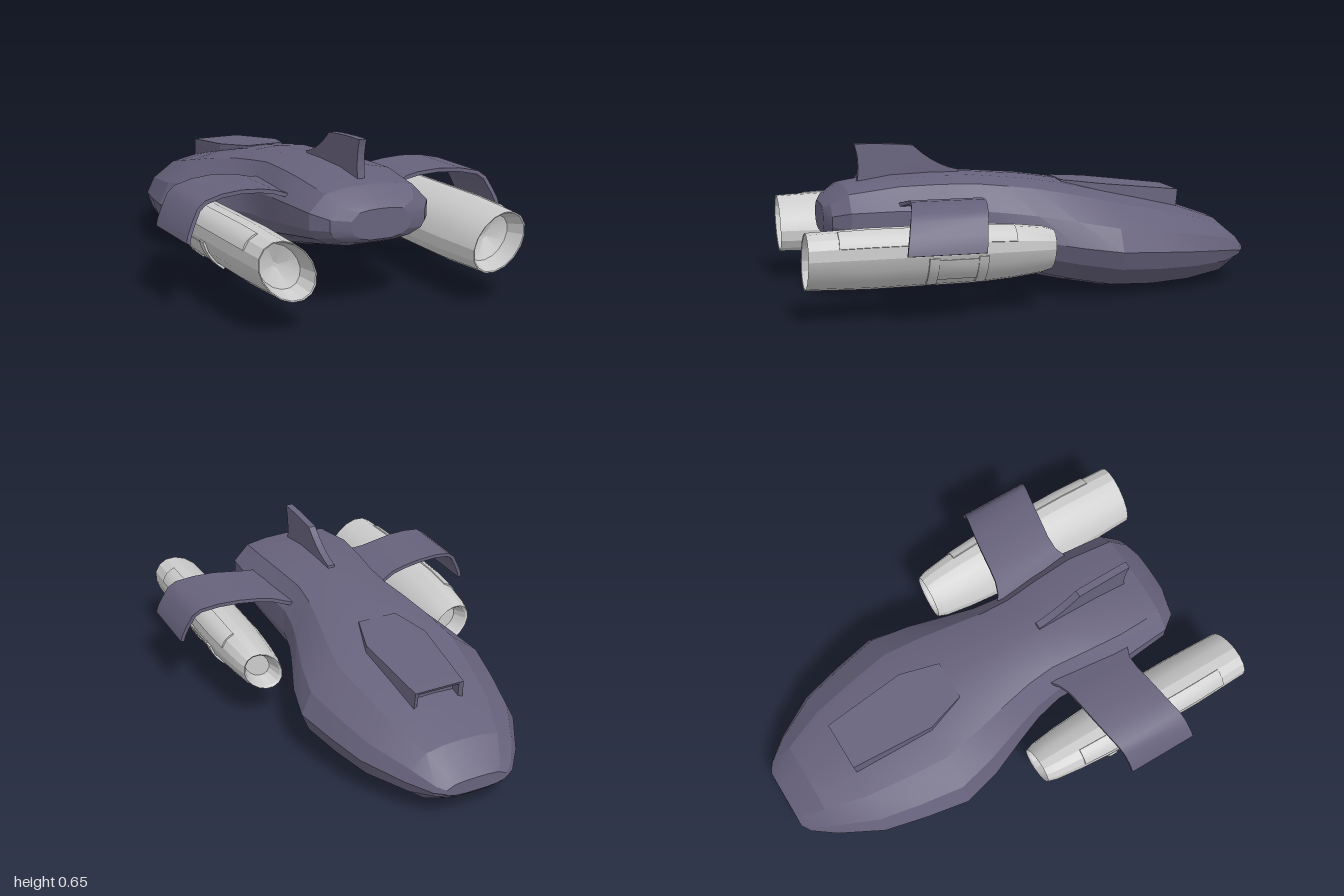
import * as THREE from 'three';
import { toCreasedNormals } from 'three/addons/utils/BufferGeometryUtils.js';

const hullMat = new THREE.MeshStandardMaterial({ color: 0x67627c });
const greyMat = new THREE.MeshStandardMaterial({ color: 0xcccccc });

// Skin a list of closed rings (counter-clockwise seen from the far end) and cap both ends
function loft(rings, crease = 0.3) {
  const n = rings[0].length, pos = rings.flat(2), idx = [];
  for (let i = 0; i < rings.length - 1; i++) {
    for (let j = 0; j < n; j++) {
      const a = i * n + j, b = i * n + (j + 1) % n;
      idx.push(a, b, b + n, a, b + n, a + n);
    }
  }
  [0, rings.length - 1].forEach((r, end) => {
    const c = pos.length / 3;
    for (let k = 0; k < 3; k++) pos.push(rings[r].reduce((s, p) => s + p[k], 0) / n);
    for (let j = 0; j < n; j++) {
      const a = r * n + j, b = r * n + (j + 1) % n;
      if (end) idx.push(c, a, b); else idx.push(c, b, a);
    }
  });
  const g = new THREE.BufferGeometry();
  g.setAttribute('position', new THREE.Float32BufferAttribute(pos, 3));
  g.setIndex(idx);
  return toCreasedNormals(g, crease);
}

function part(name, geometry, material) {
  const mesh = new THREE.Mesh(geometry, material);
  mesh.name = name;
  return mesh;
}

// Hull: half sections from keel to spine, blended from rounded to boxy
const ROUND = [[0.32, -1], [0.65, -0.85], [0.93, -0.4], [1, 0], [0.9, 0.42], [0.62, 0.84], [0.33, 0.97]];
const BOXY = [[0.35, -1], [0.68, -0.85], [0.92, -0.55], [1, -0.2], [1, 0.35], [0.74, 0.86], [0.38, 0.98]];

function hullGeometry() {
  // z, half width, bottom, widest height, top, boxiness
  const stations = [
    [-1, 0.14, 0.115, 0.14, 0.175, 0.6],
    [-0.975, 0.18, 0.09, 0.145, 0.2, 0.4],
    [-0.88, 0.255, 0.035, 0.16, 0.28, 0.1],
    [-0.7, 0.355, 0.012, 0.18, 0.345, 0],
    [-0.52, 0.4, 0.004, 0.195, 0.39, 0],
    [-0.33, 0.437, 0.015, 0.21, 0.435, 0],
    [-0.16, 0.395, 0.045, 0.23, 0.475, 0],
    [0, 0.33, 0.08, 0.26, 0.5, 0.2],
    [0.12, 0.285, 0.105, 0.28, 0.51, 0.4],
    [0.24, 0.258, 0.13, 0.3, 0.52, 0.7],
    [0.4, 0.265, 0.165, 0.32, 0.522, 1],
    [0.57, 0.28, 0.205, 0.34, 0.517, 1],
    [0.78, 0.263, 0.25, 0.35, 0.485, 1],
    [0.85, 0.21, 0.275, 0.35, 0.435, 1],
    [0.875, 0.13, 0.29, 0.35, 0.41, 1],
  ];
  return loft(stations.map(([z, w, bottom, mid, top, k]) => {
    const half = ROUND.map(([x, y], i) => {
      const fx = x + (BOXY[i][0] - x) * k, fy = y + (BOXY[i][1] - y) * k;
      return [fx * w, mid + fy * (fy > 0 ? top - mid : mid - bottom), z];
    });
    const other = half.map(([x, y]) => [-x, y, z]).reverse();
    return [...half, [0, top, z], ...other, [0, bottom, z]];
  }));
}

// Canopy: raised hood with a recessed front face
function canopyGeometry() {
  const ring = (z, w, low, top, lean = 0) =>
    [[-w, low, z], [w, low, z], [w * 0.97, top, z - lean], [-w * 0.97, top, z - lean]];
  return loft([
    ring(-0.64, 0.095, 0.34, 0.398),
    ring(-0.68, 0.095, 0.335, 0.404, 0.01),
    ring(-0.685, 0.113, 0.31, 0.417, 0.012),
    ring(-0.33, 0.143, 0.38, 0.46),
    ring(-0.16, 0.09, 0.42, 0.477),
  ], 0.2);
}

// Wing: thin curved sheet drooping at the tip
function wingGeometry() {
  // x, y, leading z, trailing z
  const stations = [
    [0.2, 0.425, 0.2, 0.62], [0.25, 0.432, 0.235, 0.585], [0.3, 0.447, 0.252, 0.563], [0.36, 0.458, 0.26, 0.562],
    [0.45, 0.466, 0.27, 0.575], [0.54, 0.462, 0.285, 0.59], [0.62, 0.446, 0.302, 0.608],
    [0.655, 0.42, 0.31, 0.617], [0.685, 0.365, 0.32, 0.628], [0.703, 0.325, 0.325, 0.636], [0.71, 0.297, 0.328, 0.64],
  ];
  return loft(stations.map(([x, y, z0, z1], i) => {
    const p = stations[Math.max(i - 1, 0)], q = stations[Math.min(i + 1, stations.length - 1)];
    const len = Math.hypot(q[0] - p[0], q[1] - p[1]);
    const dx = (q[1] - p[1]) / len * 0.016, dy = -(q[0] - p[0]) / len * 0.016;
    return [[x + dx, y + dy, z0], [x, y, z0], [x, y, z1], [x + dx, y + dy, z1]];
  }), 0.5);
}

// Tail fin: swept outline with a curved leading edge
function finGeometry() {
  const s = new THREE.Shape();
  s.moveTo(0.27, 0.49);
  s.lineTo(0.28, 0.53);
  s.quadraticCurveTo(0.38, 0.55, 0.475, 0.64);
  s.quadraticCurveTo(0.6, 0.653, 0.725, 0.652);
  s.quadraticCurveTo(0.7, 0.58, 0.715, 0.49);
  const g = new THREE.ExtrudeGeometry(s, { depth: 0.032, bevelEnabled: false, curveSegments: 5 });
  return g.translate(0, 0, -0.016).rotateY(-Math.PI / 2);
}

// Engine: tilted oval section, scaled along its length
const ENGINE = [[0, 0.7], [0.04, 0.8], [0.16, 0.92], [0.3, 1], [0.75, 1.02], [1, 0.95]];

function engineScale(z) {
  const i = Math.max(1, ENGINE.findIndex((p) => p[0] >= z));
  const [a, b] = [ENGINE[i - 1], ENGINE[i]];
  return THREE.MathUtils.lerp(a[1], b[1], (z - a[0]) / (b[0] - a[0]));
}

function enginePoint(angle, scale, z) {
  const t = angle - Math.PI / 4, c = Math.SQRT1_2;
  const u = 0.145 * scale * Math.cos(t), v = 0.105 * scale * Math.sin(t);
  return [0.463 + (u - v) * c, 0.25 + (u + v) * c, z];
}

function engineGeometry() {
  const profile = [[0.07, 0.45], [0.008, 0.63], ...ENGINE, [0.998, 0.91], [0.92, 0.72], [0.89, 0.08]];
  return loft(profile.map(([z, s]) =>
    Array.from({ length: 16 }, (_, j) => enginePoint(j / 16 * Math.PI * 2, s, z))), 0.35);
}

// Raised panel hugging the engine between two angles (degrees)
function panelGeometry(from, to, z0, z1, rise) {
  const zs = [z0, ...ENGINE.map((p) => p[0]).filter((z) => z > z0 && z < z1), z1];
  return loft(zs.map((z) => {
    const s = engineScale(z), steps = [0, 1, 2, 3, 4];
    const arc = (k) => steps.map((i) =>
      enginePoint(THREE.MathUtils.degToRad(from + (to - from) * i / 4), s + k, z));
    return [...arc(rise), ...arc(-0.06).reverse()];
  }), 0.4);
}

export function createModel() {
  const model = new THREE.Group();
  model.name = 'spacecraft';
  model.add(
    part('hull', hullGeometry(), hullMat),
    part('canopy', canopyGeometry(), hullMat),
    part('tailFin', finGeometry(), hullMat),
  );

  // Left side, mirrored for the right
  for (const side of [1, -1]) {
    const half = new THREE.Group();
    half.name = side > 0 ? 'leftSide' : 'rightSide';
    half.add(
      part('wing', wingGeometry(), hullMat),
      part('engine', engineGeometry(), greyMat),
      part('upperPanel', panelGeometry(22, 68, 0.17, 0.88, 0.035), greyMat),
      part('lowerPanel', panelGeometry(-50, -8, 0.33, 0.49, 0.03), greyMat),
      part('frontRib', panelGeometry(-62, -4, 0.29, 0.33, 0.07), greyMat),
      part('rearRib', panelGeometry(-62, -4, 0.49, 0.53, 0.07), greyMat),
    );
    half.scale.x = side;
    model.add(half);
  }
  return model;
}
